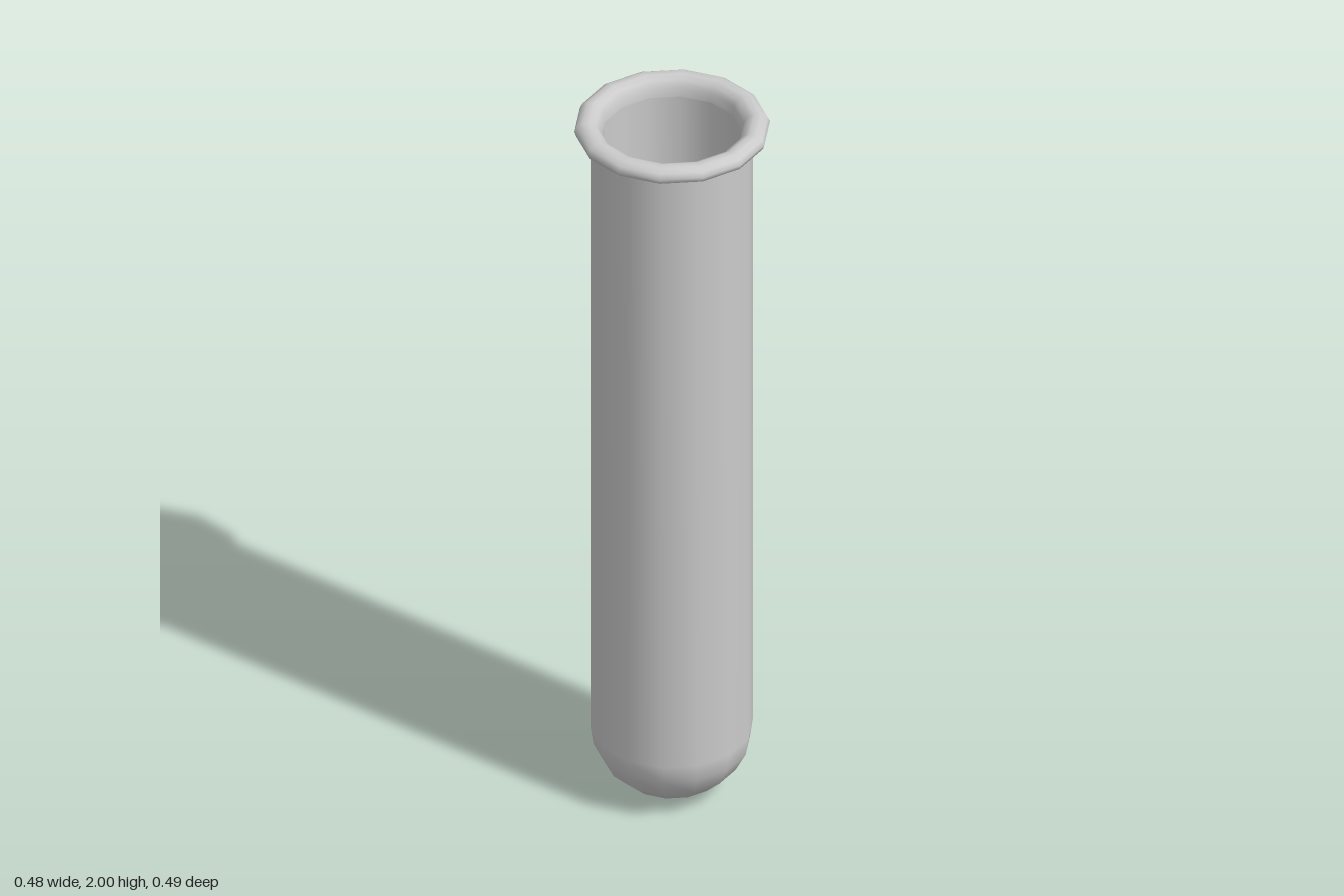
import * as THREE from 'three';

const SIDES = 14;

// Revolve a list of [radius, height] pairs around the vertical axis
function revolve(name, profile, material) {
  const points = profile.map(([r, y]) => new THREE.Vector2(r, y));
  const mesh = new THREE.Mesh(new THREE.LatheGeometry(points, SIDES), material);
  mesh.name = name;
  return mesh;
}

export function createModel() {
  const group = new THREE.Group();
  group.name = 'testTube';
  const material = new THREE.MeshStandardMaterial({ color: 0xcccccc });

  // Outer wall: rounded bottom and straight side
  const outside = [
    [0, 0], [0.07, 0.008], [0.125, 0.035], [0.17, 0.078],
    [0.197, 0.13], [0.204, 0.18], [0.204, 1.94],
  ];

  // Rolled lip, from under the rim over to the bore
  const lip = [
    [0.204, 1.94], [0.213, 1.953], [0.23, 1.956], [0.243, 1.964], [0.247, 1.977],
    [0.241, 1.99], [0.226, 1.999], [0.208, 2], [0.192, 1.992], [0.181, 1.975], [0.178, 1.95],
  ];

  // Inner wall, down to the hollow rounded bottom
  const inside = [
    [0.178, 1.95], [0.178, 0.19], [0.17, 0.14], [0.147, 0.093],
    [0.108, 0.055], [0.06, 0.032], [0, 0.025],
  ];

  group.add(
    revolve('outerWall', outside, material),
    revolve('rolledLip', lip, material),
    revolve('innerWall', inside, material),
  );
  return group;
}
